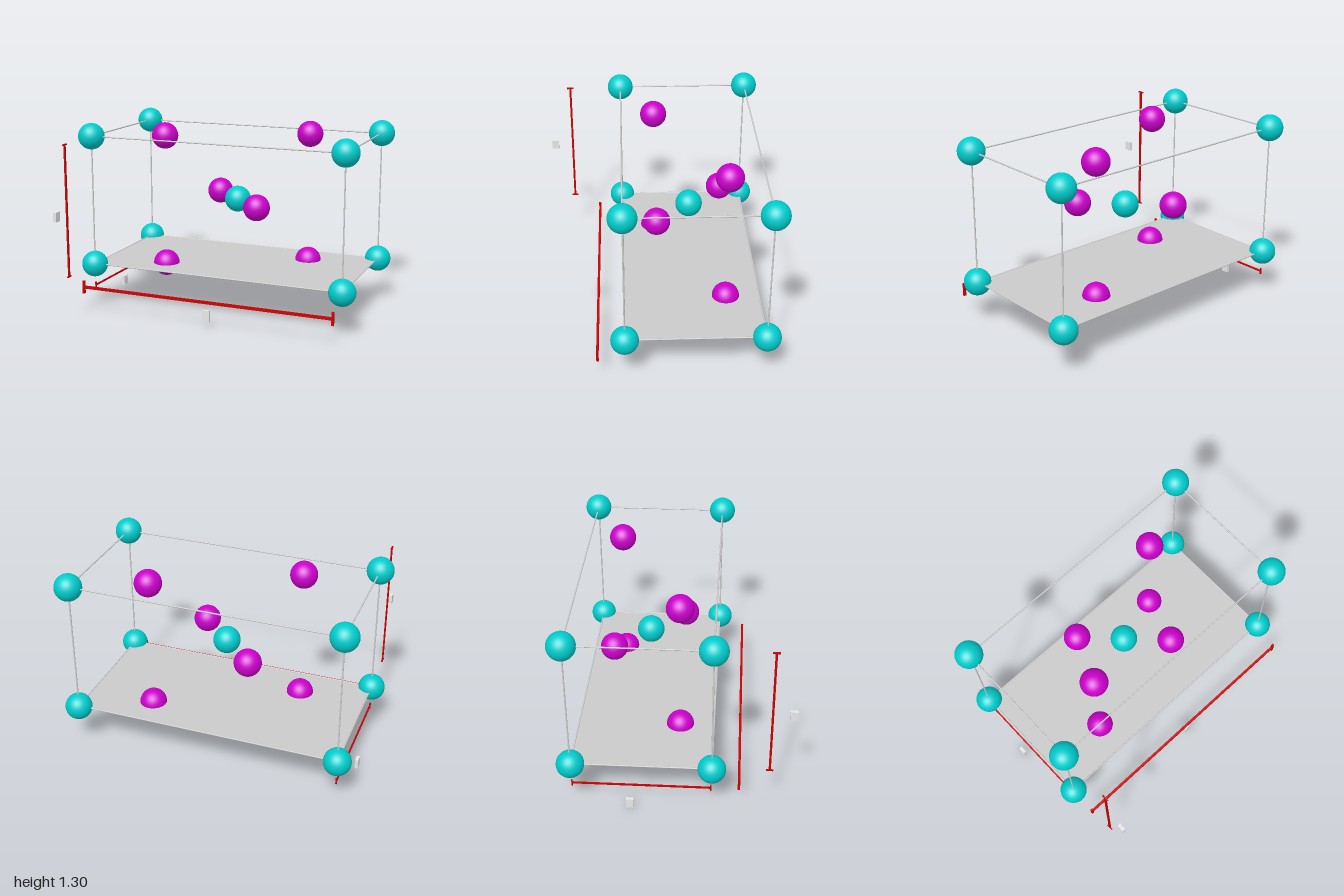
import * as THREE from 'three';

export function createModel() {
  const model = new THREE.Group();
  model.name = 'crystalCell';

  const paint = (name, color, side = THREE.FrontSide) => {
    const m = new THREE.MeshStandardMaterial({ color, side });
    m.name = name;
    return m;
  };
  const teal = paint('teal', 0x00cccc);
  const magenta = paint('magenta', 0xcc00cc);
  const rodGrey = paint('rod grey', 0xcccccc);
  const planeGrey = paint('plane grey', 0xcacaca, THREE.DoubleSide);
  const red = paint('dimension red', 0xcc0000);
  const white = paint('tag white', 0xffffff);

  // Unit cell limits
  const X = 0.907, Y0 = 0.303, Y1 = 1.213, Z0 = -0.67, Z1 = 0.237;
  const YM = (Y0 + Y1) / 2, ZM = (Z0 + Z1) / 2;

  const add = (name, geometry, material, x, y, z, parent = model) => {
    const mesh = new THREE.Mesh(geometry, material);
    mesh.name = name;
    mesh.position.set(x, y, z);
    parent.add(mesh);
    return mesh;
  };
  const box = (name, w, h, d, material, x, y, z, parent) =>
    add(name, new THREE.BoxGeometry(w, h, d), material, x, y, z, parent);

  // Atoms
  const ball = new THREE.SphereGeometry(0.091, 40, 28);
  for (const x of [-X, X])
    for (const y of [Y0, Y1])
      for (const z of [Z0, Z1]) add('cornerAtom', ball, teal, x, y, z);
  add('centreAtom', ball, teal, 0, YM, ZM);
  for (const s of [-1, 1]) {
    const z = ZM - s * 0.227;
    add('innerAtom', ball, magenta, -s * 0.227, YM, z);
    for (const y of [Y0, Y1]) add('faceAtom', ball, magenta, s * 0.453, y, z);
  }

  // Twelve cell edges
  const rod = (length) => new THREE.CylinderGeometry(0.005, 0.005, length, 12);
  for (const y of [Y0, Y1]) {
    for (const z of [Z0, Z1]) add('longEdge', rod(2 * X), rodGrey, 0, y, z).rotation.z = Math.PI / 2;
    for (const x of [-X, X]) add('depthEdge', rod(Z1 - Z0), rodGrey, x, y, ZM).rotation.x = Math.PI / 2;
  }
  for (const x of [-X, X])
    for (const z of [Z0, Z1]) add('uprightEdge', rod(Y1 - Y0), rodGrey, x, YM, z);

  // Base plane of the cell
  add('basePlane', new THREE.PlaneGeometry(2 * X, Z1 - Z0), planeGrey, 0, Y0, ZM).rotation.x = -Math.PI / 2;

  // Dimension bars, each with two end ticks and a plain tag
  const group = (name) => {
    const g = new THREE.Group();
    g.name = name;
    model.add(g);
    return g;
  };
  const widthBar = group('widthDimension');
  box('bar', 1.8, 0.018, 0.016, red, 0, 0.18, 0.413, widthBar);
  for (const x of [-0.9, 0.9]) box('tick', 0.016, 0.09, 0.016, red, x, 0.18, 0.413, widthBar);
  box('tag', 0.05, 0.08, 0.018, white, 0.025, 0.085, 0.413, widthBar);

  const depthBar = group('depthDimension');
  box('bar', 0.01, 0.01, 0.905, red, -X, 0.145, ZM, depthBar);
  for (const z of [Z0 + 0.004, Z1 - 0.004]) box('tick', 0.01, 0.045, 0.008, red, -X, 0.145, z, depthBar);
  box('tag', 0.022, 0.068, 0.05, white, -0.955, 0.034, -0.288, depthBar);

  const heightBar = group('heightDimension');
  box('bar', 0.01, 0.905, 0.014, red, -0.9, YM, 0.603, heightBar);
  for (const y of [Y0 + 0.004, Y1 - 0.004]) box('tick', 0.01, 0.008, 0.045, red, -0.9, y, 0.603, heightBar);
  box('tag', 0.022, 0.065, 0.05, white, -0.9, 0.75, 0.733, heightBar);

  return model;
}
